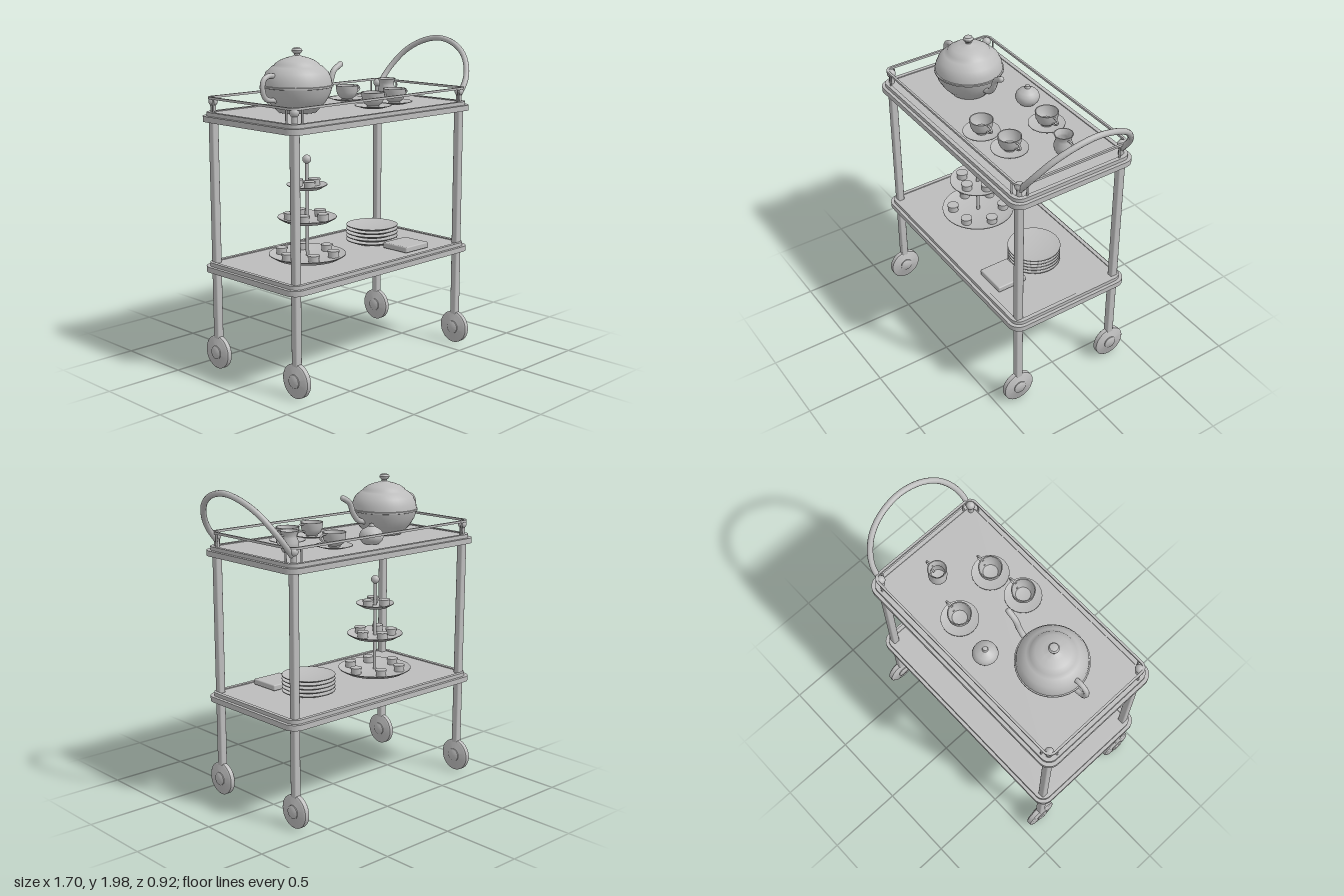
import * as THREE from 'three';
import { toCreasedNormals } from 'three/addons/utils/BufferGeometryUtils.js';
import { RoundedBoxGeometry } from 'three/addons/geometries/RoundedBoxGeometry.js';

export function createModel() {
  const model = new THREE.Group();
  model.name = 'teaTrolley';
  const grey = new THREE.MeshStandardMaterial({ color: 0xbcbcbc });
  grey.name = 'plainGrey';

  const add = (name, geo, x = 0, y = 0, z = 0, parent = model) => {
    const m = new THREE.Mesh(geo, grey);
    m.name = name;
    m.position.set(x, y, z);
    parent.add(m);
    return m;
  };
  const group = (name, x, y, z) => {
    const g = new THREE.Group();
    g.name = name;
    g.position.set(x, y, z);
    model.add(g);
    return g;
  };
  const lathe = (pts, seg = 32) =>
    toCreasedNormals(new THREE.LatheGeometry(pts.map(p => new THREE.Vector2(...p)), seg), 0.7);
  const tube = (pts, r, seg = 24) => new THREE.TubeGeometry(
    new THREE.CatmullRomCurve3(pts.map(p => new THREE.Vector3(...p))), seg, r, 10);
  const cyl = (r, h, seg = 20) => new THREE.CylinderGeometry(r, r, h, seg);

  // Rounded rectangle slab or ring, centred on the trays
  const CX = -0.084;
  const trace = (p, w, d, r) => {
    p.moveTo(-w + r, -d);
    p.lineTo(w - r, -d); p.absarc(w - r, -d + r, r, -Math.PI / 2, 0);
    p.lineTo(w, d - r); p.absarc(w - r, d - r, r, 0, Math.PI / 2);
    p.lineTo(-w + r, d); p.absarc(-w + r, d - r, r, Math.PI / 2, Math.PI);
    p.lineTo(-w, -d + r); p.absarc(-w + r, -d + r, r, Math.PI, Math.PI * 1.5);
    return p;
  };
  const slab = (w, d, r, h, wall = 0) => {
    const s = trace(new THREE.Shape(), w, d, r);
    if (wall) s.holes.push(trace(new THREE.Path(), w - wall, d - wall, r - wall * 0.8));
    const g = new THREE.ExtrudeGeometry(s, { depth: h, bevelEnabled: false, curveSegments: 8 });
    g.rotateX(-Math.PI / 2);
    return toCreasedNormals(g, 0.6);
  };

  // Two trays: outer band, stepped lip and inner panel
  for (const [name, y] of [['lowerTray', 0.63], ['upperTray', 1.547]]) {
    const g = group(name, CX, y, 0);
    add('band', slab(0.773, 0.42, 0.075, 0.034, 0.03), 0, 0, 0, g);
    add('lip', slab(0.752, 0.4, 0.06, 0.024, 0.025), 0, 0.033, 0, g);
    add('panel', slab(0.75, 0.398, 0.055, 0.024), 0, 0.027, 0, g);
  }

  // Guard rail around the upper tray
  add('guardRail', slab(0.741, 0.388, 0.05, 0.014, 0.014), CX, 1.68, 0);

  // Legs, wheels, finials and rail posts at the four corners
  for (const x of [-0.79, 0.622]) for (const z of [-0.355, 0.355]) {
    const sx = Math.sign(x), sz = Math.sign(z);
    const c = group('corner', x, 0, z);
    add('leg', new RoundedBoxGeometry(0.045, 1.37, 0.045, 2, 0.008), 0, 0.88, 0, c);
    const wheel = lathe([[0, -0.033], [0.036, -0.033], [0.042, -0.028], [0.042, -0.022], [0.094, -0.022],
      [0.104, -0.014], [0.104, 0.014], [0.094, 0.022], [0.042, 0.022], [0.042, 0.028], [0.036, 0.033], [0, 0.033]], 36);
    wheel.rotateZ(Math.PI / 2);
    add('wheel', wheel, 0, 0.11, 0, c);
    add('postStem', cyl(0.017, 0.07), 0, 1.625, 0, c);
    add('finial', new THREE.SphereGeometry(0.028, 16, 12), 0, 1.665, 0, c);
    add('railPost', cyl(0.006, 0.09, 8), -sx * 0.035, 1.64, sz * 0.026, c);
    add('railPost', cyl(0.006, 0.09, 8), sx * 0.028, 1.64, -sz * 0.035, c);
  }

  // Arched push handle
  const half = [[0.63, 1.645, 0.35], [0.685, 1.715, 0.348], [0.735, 1.79, 0.32], [0.785, 1.88, 0.25], [0.818, 1.945, 0.14]];
  const arch = [...half, [0.83, 1.973, 0], ...half.map(([x, y, z]) => [x, y, -z]).reverse()];
  add('pushHandle', tube(arch, 0.018, 60));
  for (const z of [-0.35, 0.35]) add('handleEnd', new THREE.SphereGeometry(0.018, 12, 8), 0.63, 1.645, z);

  // Teapot
  const pot = group('teapot', -0.44, 1.604, 0);
  add('potBody', lathe([[0, 0], [0.115, 0], [0.125, 0.012], [0.165, 0.055], [0.195, 0.105], [0.207, 0.148],
    [0.214, 0.15], [0.214, 0.16], [0.207, 0.162], [0.203, 0.195], [0.185, 0.235], [0.15, 0.268], [0.135, 0.275],
    [0.13, 0.285], [0.1, 0.305], [0.06, 0.32], [0.03, 0.326], [0.018, 0.333], [0.018, 0.342], [0.03, 0.352],
    [0.032, 0.362], [0.024, 0.374], [0, 0.38]], 40), 0, 0, 0, pot);
  add('potSpout', tube([[0.17, 0.09, 0], [0.225, 0.105, 0], [0.27, 0.155, 0], [0.3, 0.22, 0], [0.36, 0.258, 0]], 0.018),
    0, 0, 0, pot);
  add('spoutMouth', new THREE.SphereGeometry(0.018, 12, 8), 0.356, 0.256, 0, pot);
  add('potHandle', tube([[-0.16, 0.215, 0], [-0.215, 0.227, 0], [-0.26, 0.205, 0], [-0.27, 0.15, 0],
    [-0.245, 0.095, 0], [-0.17, 0.08, 0]], 0.016), 0, 0, 0, pot);

  // Small loop handle on the +x side of a cup or jug
  const loop = (r, y, h) => tube([[r - 0.012, y + h, 0], [r + 0.025, y + h, 0], [r + 0.042, y + h * 0.3, 0],
    [r + 0.02, y - h * 0.6, 0], [r - 0.022, y - h, 0]], 0.006);

  // Cups on saucers
  for (const [x, z] of [[0, 0.197], [0.235, 0.156], [0.145, -0.17]]) {
    const g = group('cupAndSaucer', x, 1.604, z);
    add('saucer', lathe([[0, 0], [0.065, 0], [0.112, 0.014], [0.112, 0.018], [0.065, 0.006], [0, 0.006]]), 0, 0, 0, g);
    add('cup', lathe([[0, 0.006], [0.036, 0.006], [0.036, 0.014], [0.055, 0.028], [0.067, 0.055], [0.072, 0.096],
      [0.066, 0.096], [0.06, 0.058], [0.045, 0.03], [0, 0.022]]), 0, 0, 0, g);
    add('cupHandle', loop(0.07, 0.062, 0.024), 0, 0, 0, g);
  }

  // Lidded sugar bowl
  add('sugarBowl', lathe([[0, 0], [0.05, 0], [0.068, 0.02], [0.076, 0.045], [0.07, 0.068], [0.055, 0.085],
    [0.034, 0.097], [0.018, 0.106], [0.016, 0.114], [0.014, 0.122], [0, 0.127]]), -0.12, 1.604, -0.215);

  // Milk jug
  const jug = group('milkJug', 0.425, 1.604, -0.087);
  add('jugBody', lathe([[0, 0], [0.04, 0], [0.054, 0.025], [0.057, 0.055], [0.046, 0.085], [0.046, 0.1], [0.058, 0.126],
    [0.053, 0.126], [0.04, 0.1], [0.04, 0.085], [0.05, 0.055], [0.045, 0.02], [0, 0.01]]), 0, 0, 0, jug);
  add('jugHandle', loop(0.052, 0.068, 0.032), 0, 0, 0, jug);

  // Three-tier cake stand with small cakes
  const stand = group('cakeStand', -0.368, 0, 0);
  add('standRod', cyl(0.011, 0.6, 12), 0, 0.99, 0, stand);
  add('standKnob', new THREE.SphereGeometry(0.027, 16, 12), 0, 1.31, 0, stand);
  for (const [y, r, n, ring] of [[0.7, 0.236, 6, 0.165], [0.93, 0.18, 5, 0.108], [1.13, 0.123, 3, 0.062]]) {
    add('tierPlate', lathe([[0, 0], [r - 0.04, 0], [r, 0.023], [r, 0.028], [r - 0.04, 0.013], [0, 0.013]], 36), 0, y, 0, stand);
    for (let i = 0; i < n; i++) {
      const a = i / n * Math.PI * 2;
      const [cx, cz] = [Math.cos(a) * ring, Math.sin(a) * ring];
      add('cake', cyl(0.033, 0.034), cx, y + 0.03, cz, stand);
      add('cakeTop', cyl(0.037, 0.01), cx, y + 0.049, cz, stand);
    }
  }
  add('standFoot', cyl(0.1, 0.022, 32), 0, 0.693, 0, stand);

  // Stack of plates
  for (let i = 0; i < 5; i++)
    add('plate', lathe([[0, 0], [0.12, 0], [0.166, 0.018], [0.166, 0.023], [0.12, 0.012], [0, 0.012]], 36),
      0.232, 0.686 + i * 0.024, -0.03);

  // Folded napkins
  add('napkins', new RoundedBoxGeometry(0.21, 0.038, 0.2, 2, 0.008), 0.272, 0.704, 0.23);

  return model;
}
